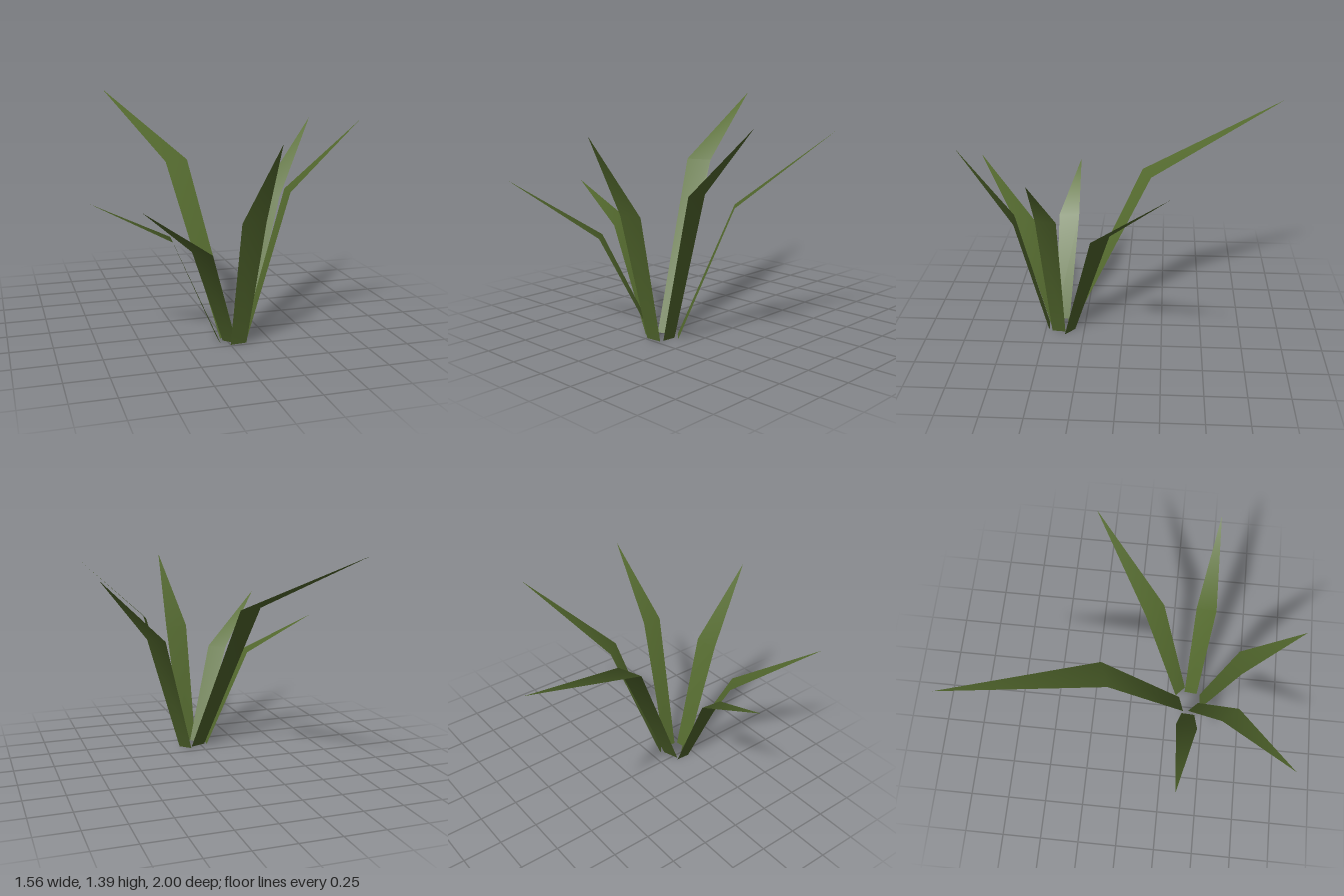
import * as THREE from 'three';

// Each blade: base edge at y = 0, a wider bend edge at height bendY, and a tip.
// Edge points are [x, z], left then right when looking outward from the centre.
const BLADES = [
  { name: 'backBlade', base: [[-0.03, 0.37], [0.07, 0.335]], bend: [[-0.24, -0.11], [-0.09, -0.165]], bendY: 1.0, tip: [-0.485, 1.39, -1.0] },
  { name: 'backLeftBlade', base: [[0.08, 0.31], [0.145, 0.37]], bend: [[0.315, 0.065], [0.405, 0.17]], bendY: 0.79, tip: [0.78, 1.23, -0.28] },
  { name: 'leftBlade', base: [[0.113, 0.37], [0.105, 0.455]], bend: [[0.36, 0.37], [0.35, 0.492]], bendY: 0.89, tip: [0.78, 1.285, 0.457] },
  { name: 'frontBlade', base: [[0.1, 0.475], [0.0, 0.485]], bend: [[0.147, 0.66], [0.0, 0.68]], bendY: 0.77, tip: [0.11, 1.24, 0.985] },
  { name: 'frontRightBlade', base: [[0.04, 0.47], [-0.025, 0.405]], bend: [[-0.17, 0.695], [-0.26, 0.595]], bendY: 0.61, tip: [-0.615, 0.94, 1.0] },
  { name: 'rightBlade', base: [[-0.05, 0.45], [-0.045, 0.36]], bend: [[-0.33, 0.442], [-0.315, 0.31]], bendY: 0.63, tip: [-0.78, 0.857, 0.335] },
];

// Flat folded blade with normals shared across the bend
function bladeGeometry({ base, bend, bendY, tip }) {
  const edge = (points, y) => points.flatMap(([x, z]) => [x, y, z]);
  const geometry = new THREE.BufferGeometry();
  geometry.setAttribute('position', new THREE.Float32BufferAttribute(
    [...edge(base, 0), ...edge(bend, bendY), ...tip], 3));
  geometry.setIndex([0, 1, 3, 0, 3, 2, 2, 3, 4]);
  geometry.computeVertexNormals();
  return geometry;
}

export function createModel() {
  const plant = new THREE.Group();
  plant.name = 'grassTuft';
  const leafGreen = new THREE.MeshStandardMaterial({ color: 0x556b2f, side: THREE.DoubleSide });
  leafGreen.name = 'leafGreen';

  for (const blade of BLADES) {
    const mesh = new THREE.Mesh(bladeGeometry(blade), leafGreen);
    mesh.name = blade.name;
    plant.add(mesh);
  }
  return plant;
}
